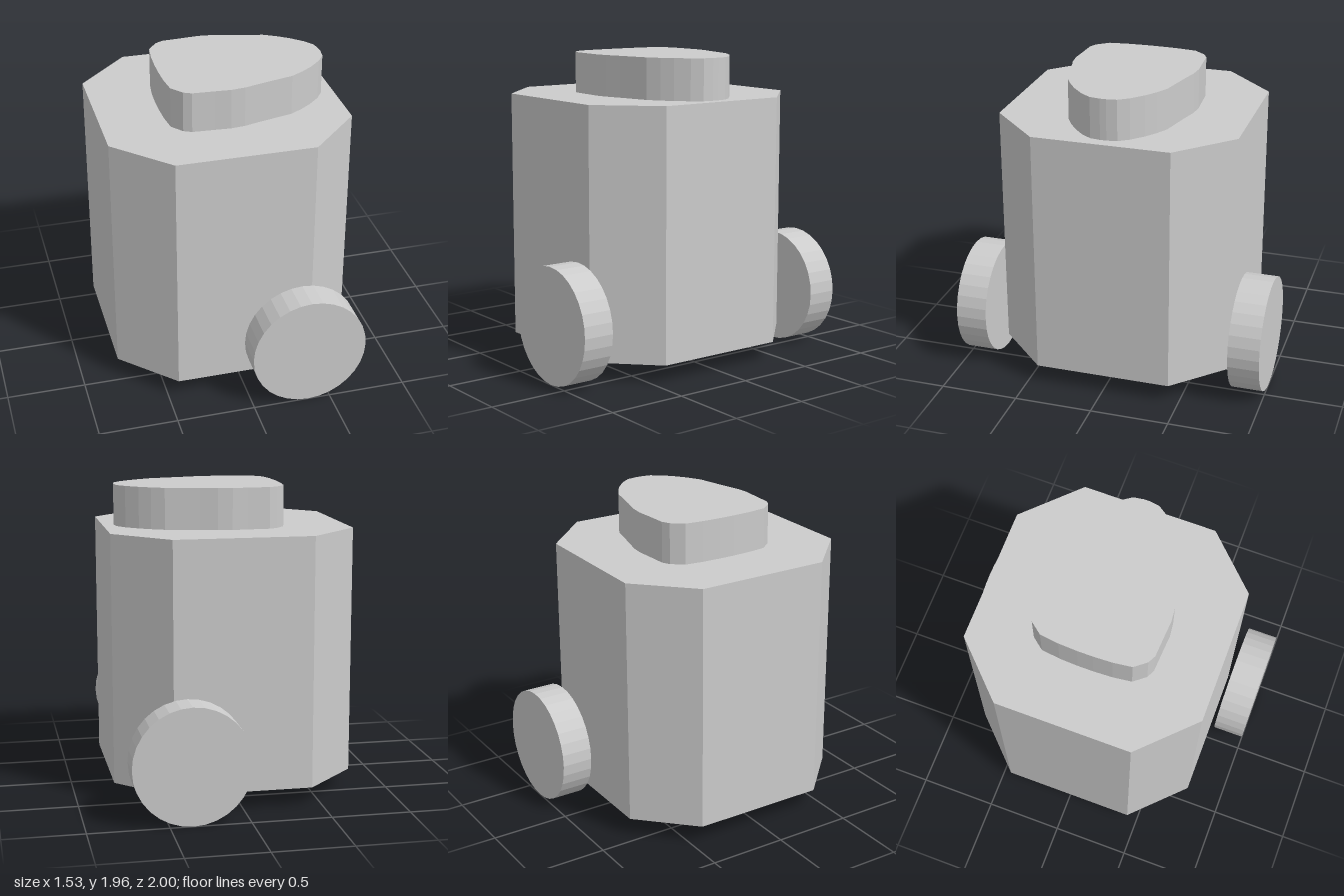
import * as THREE from 'three';

const flat = new THREE.MeshStandardMaterial({ color: 0xcccccc, flatShading: true });
const smooth = new THREE.MeshStandardMaterial({ color: 0xcccccc });

// Upright prism from an outline of [x, z] points
function prism(name, outline, bottom, top) {
  const shape = new THREE.Shape(outline.map(([x, z]) => new THREE.Vector2(x, -z)));
  const geometry = new THREE.ExtrudeGeometry(shape, { depth: top - bottom, bevelEnabled: false });
  geometry.rotateX(-Math.PI / 2).translate(0, bottom, 0);
  const mesh = new THREE.Mesh(geometry, flat);
  mesh.name = name;
  return mesh;
}

export function createModel() {
  const model = new THREE.Group();
  model.name = 'wheeledRobot';

  // Octagonal body: a square with cut corners
  const a = 0.765, b = 0.435;
  model.add(prism('body', [
    [a, -b], [a, b], [b, a], [-b, a], [-a, b], [-a, -b], [-b, -a], [b, -a],
  ], 0.12, 1.7));

  // Rounded triangular head, one half of the outline mirrored across z
  const half = [
    [0.69, 0.02], [0.68, 0.085], [0.635, 0.15], [0.56, 0.22], [0.49, 0.27], [0.41, 0.315],
    [0.2, 0.365], [0.09, 0.395], [0, 0.405], [-0.1, 0.398], [-0.24, 0.39], [-0.29, 0.365],
    [-0.35, 0.29], [-0.365, 0.17], [-0.37, 0.05],
  ];
  const mirrored = half.map(([x, z]) => [x, -z]).reverse();
  model.add(prism('head', [...half, ...mirrored], 1.7, 1.96));

  // Drive wheels, standing just clear of the body on both sides
  const wheelGeometry = new THREE.CylinderGeometry(0.368, 0.368, 0.2, 32).rotateX(Math.PI / 2);
  for (const [name, side] of [['frontWheel', 1], ['backWheel', -1]]) {
    const wheel = new THREE.Mesh(wheelGeometry, flat);
    wheel.name = name;
    wheel.position.set(0.358, 0.37, side * 0.9);
    model.add(wheel);
  }

  // Ball caster under the body
  const caster = new THREE.Mesh(new THREE.SphereGeometry(0.057, 32, 20), smooth);
  caster.name = 'ballCaster';
  caster.position.set(-0.54, 0.062, 0);
  model.add(caster);

  return model;
}
